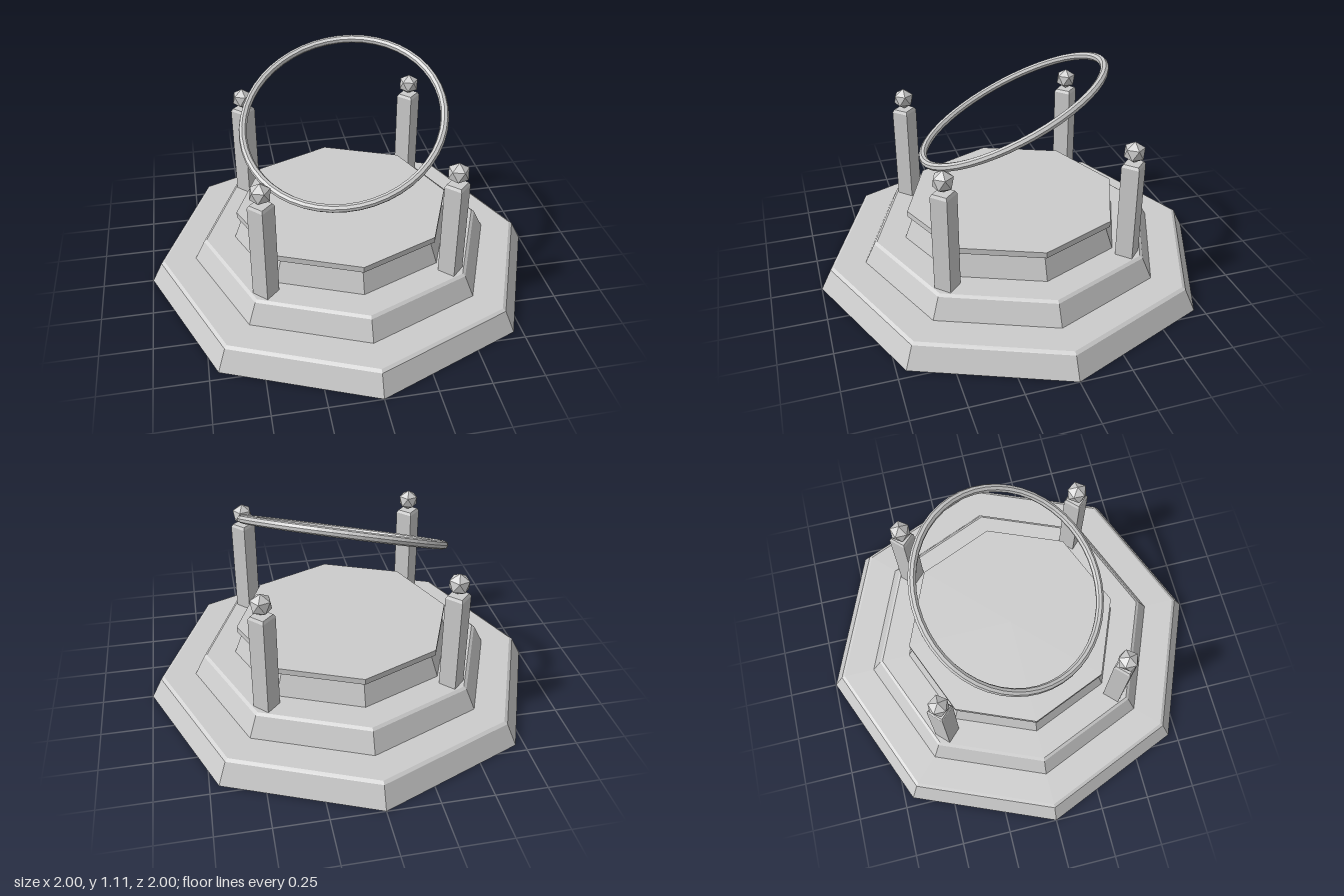
import * as THREE from 'three';

export function createModel() {
  const model = new THREE.Group();
  model.name = 'ringShrine';
  const stone = new THREE.MeshStandardMaterial({ color: 0xcccccc, flatShading: true });
  stone.name = 'grey stone';

  const add = (geometry, name, x = 0, y = 0, z = 0) => {
    const mesh = new THREE.Mesh(geometry, stone);
    mesh.name = name;
    mesh.position.set(x, y, z);
    model.add(mesh);
    return mesh;
  };

  // Closed faceted solid from a [radius, height] profile, with corners on the axes
  const prism = (profile, sides) => new THREE.LatheGeometry(
    [[0, profile[0][1]], ...profile, [0, profile[profile.length - 1][1]]]
      .map(([r, y]) => new THREE.Vector2(r, y)), sides);

  // Octagonal stepped base with softened upper edges
  add(prism([[1, 0], [0.947, 0.105], [0.93, 0.115]], 8), 'lowerStep');
  add(prism([[0.77, 0.115], [0.72, 0.215], [0.705, 0.225]], 8), 'middleStep');
  add(prism([[0.56, 0.225], [0.515, 0.345]], 8), 'upperStep');
  add(prism([[0.543, 0.345], [0.543, 0.375]], 8), 'topSlab');

  // Square posts turned to the diagonals, each with a gem standing on one point
  const post = prism([[0.062, 0.225], [0.062, 0.71], [0.052, 0.724]], 4);
  const gem = new THREE.IcosahedronGeometry(0.054, 0);
  gem.rotateX(-Math.atan((1 + Math.sqrt(5)) / 2)).rotateY(Math.PI / 2);
  for (const x of [-0.45, 0.45]) {
    for (const z of [-0.45, 0.45]) {
      const label = (z > 0 ? 'front' : 'back') + (x > 0 ? 'Left' : 'Right');
      add(post, label + 'Post', x, 0, z);
      add(gem, label + 'Gem', x, 0.78, z);
    }
  }

  // Floating ring, raised toward the back and the left
  const ring = add(new THREE.TorusGeometry(0.491, 0.02, 8, 48), 'floatingRing', 0, 0.861, 0);
  ring.quaternion.setFromUnitVectors(
    new THREE.Vector3(0, 0, 1), new THREE.Vector3(-0.21, 0.888, 0.41).normalize());

  return model;
}
